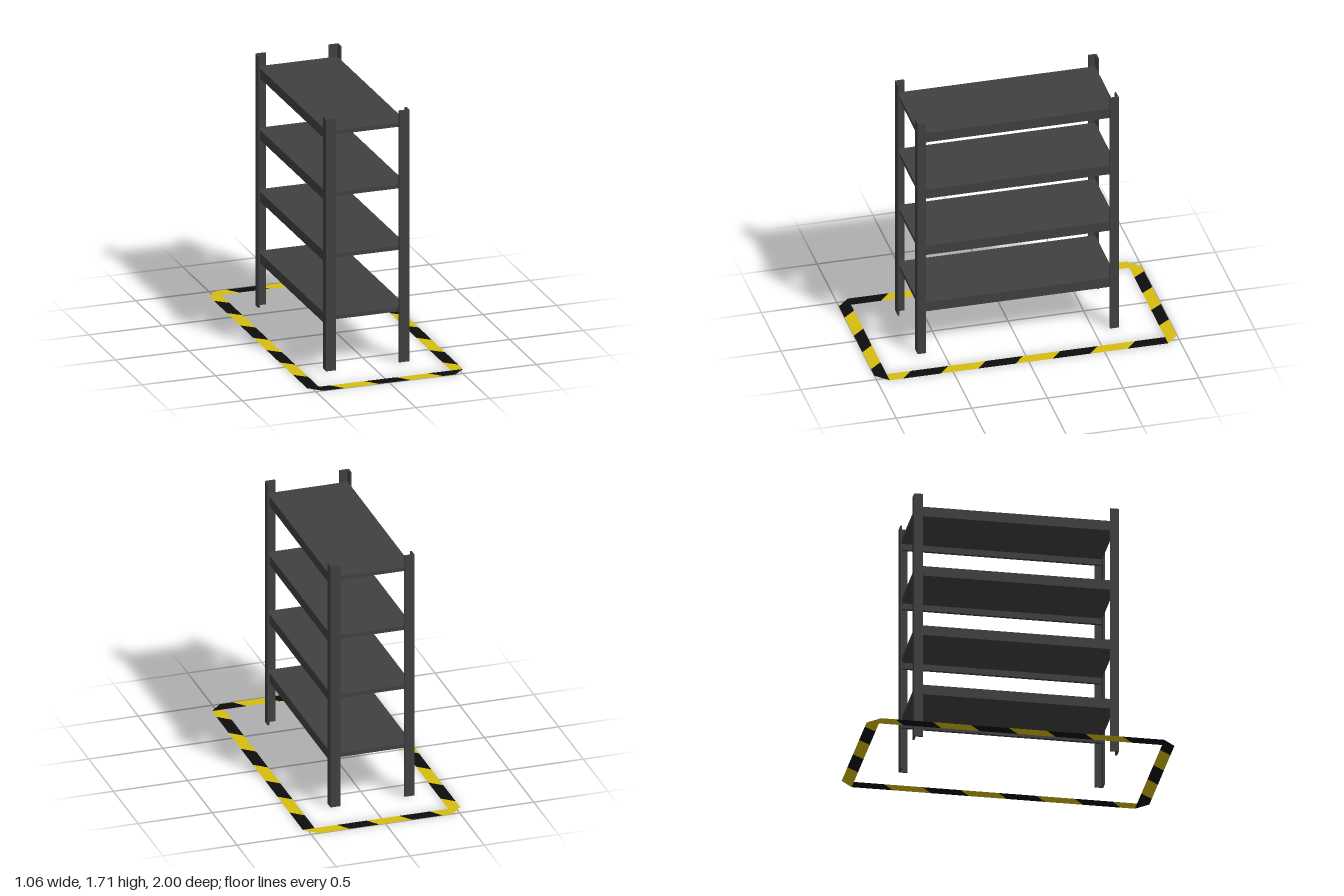
import * as THREE from 'three';

const rackGrey = new THREE.MeshStandardMaterial({ color: 0x404040 });
rackGrey.name = 'rack grey';
const tapeYellow = new THREE.MeshStandardMaterial({ color: 0xd6be10, side: THREE.DoubleSide });
tapeYellow.name = 'tape yellow';
const tapeBlack = new THREE.MeshStandardMaterial({ color: 0x0d0d0d, side: THREE.DoubleSide });
tapeBlack.name = 'tape black';

const HX = 0.283, HZ = 0.665, HEIGHT = 1.71, T = 0.012; // rack half sizes, sheet thickness

function box(parent, name, w, h, d, x, y, z) {
  const mesh = new THREE.Mesh(new THREE.BoxGeometry(w, h, d), rackGrey);
  mesh.name = name;
  mesh.position.set(x, y, z);
  parent.add(mesh);
}

// Upright with an L-shaped section, its corner pointing outwards
function post(sx, sz) {
  const pts = [[0, 0], [0.068, 0], [0.068, T], [T, T], [T, 0.057], [0, 0.057]]
    .map(([a, b]) => new THREE.Vector2(sx * (HX - a), -sz * (HZ - b)));
  const geo = new THREE.ExtrudeGeometry(new THREE.Shape(pts), { depth: HEIGHT, bevelEnabled: false });
  geo.rotateX(-Math.PI / 2);
  const mesh = new THREE.Mesh(geo, rackGrey);
  mesh.name = 'cornerPost';
  return mesh;
}

// Shelf plate with a deeper beam along each long edge
function shelf(top) {
  const g = new THREE.Group();
  g.name = 'shelf';
  const w = 2 * (HX - T), d = 2 * (HZ - T);
  box(g, 'shelfPlate', w, 0.027, d, 0, top - 0.0135, 0);
  for (const s of [-1, 1]) box(g, 'shelfBeam', 0.02, 0.04, d, s * (w / 2 - 0.01), top - 0.047, 0);
  return g;
}

// Floor tape strip: slanted pieces between breaks on the outer and inner edges
function tapeStrip(name, outer, inner, toPoint, colours) {
  const g = new THREE.Group();
  g.name = name;
  for (let i = 0; i + 1 < outer.length; i++) {
    const corners = [toPoint(outer[i], 1), toPoint(outer[i + 1], 1), toPoint(inner[i + 1], 0), toPoint(inner[i], 0)];
    const shape = new THREE.Shape(corners.map(([x, z]) => new THREE.Vector2(x, -z)));
    const geo = new THREE.ShapeGeometry(shape).rotateX(-Math.PI / 2);
    const mesh = new THREE.Mesh(geo, colours[i % 2]);
    mesh.name = 'tapeStripe';
    g.add(mesh);
  }
  return g;
}

export function createModel() {
  const model = new THREE.Group();
  model.name = 'shelvingRack';

  const rack = new THREE.Group();
  rack.name = 'rack';
  rack.position.x = -0.025;
  for (const sx of [-1, 1]) for (const sz of [-1, 1]) rack.add(post(sx, sz));
  for (let i = 0; i < 4; i++) rack.add(shelf(0.37 + i * 0.4185));
  model.add(rack);

  const tape = new THREE.Group();
  tape.name = 'floorTape';
  const YB = [tapeYellow, tapeBlack], BY = [tapeBlack, tapeYellow];

  // Long sides, the second a half turn of the first
  const cuts = [...Array(7).keys()].map((i) => -0.83 + i * 0.247);
  const outer = [-0.92, ...cuts, 0.92];
  const inner = [-0.92, ...cuts.map((c) => c + 0.07), 0.92];
  for (const s of [1, -1]) {
    tape.add(tapeStrip('sideTape', outer, inner, (t, o) => [-s * (o ? 0.53 : 0.45), s * t], YB));
  }

  // Short ends, with their corners cut off
  tape.add(tapeStrip('backTape',
    [-0.45, -0.385, -0.18, 0.04, 0.24, 0.45],
    [-0.53, -0.325, -0.12, 0.1, 0.3, 0.53],
    (t, o) => [t, o ? -1 : -0.92], YB));
  tape.add(tapeStrip('frontTape',
    [-0.45, -0.305, -0.07, 0.145, 0.365, 0.45],
    [-0.53, -0.375, -0.14, 0.075, 0.295, 0.53],
    (t, o) => [t, o ? 1 : 0.92], BY));
  model.add(tape);

  return model;
}
